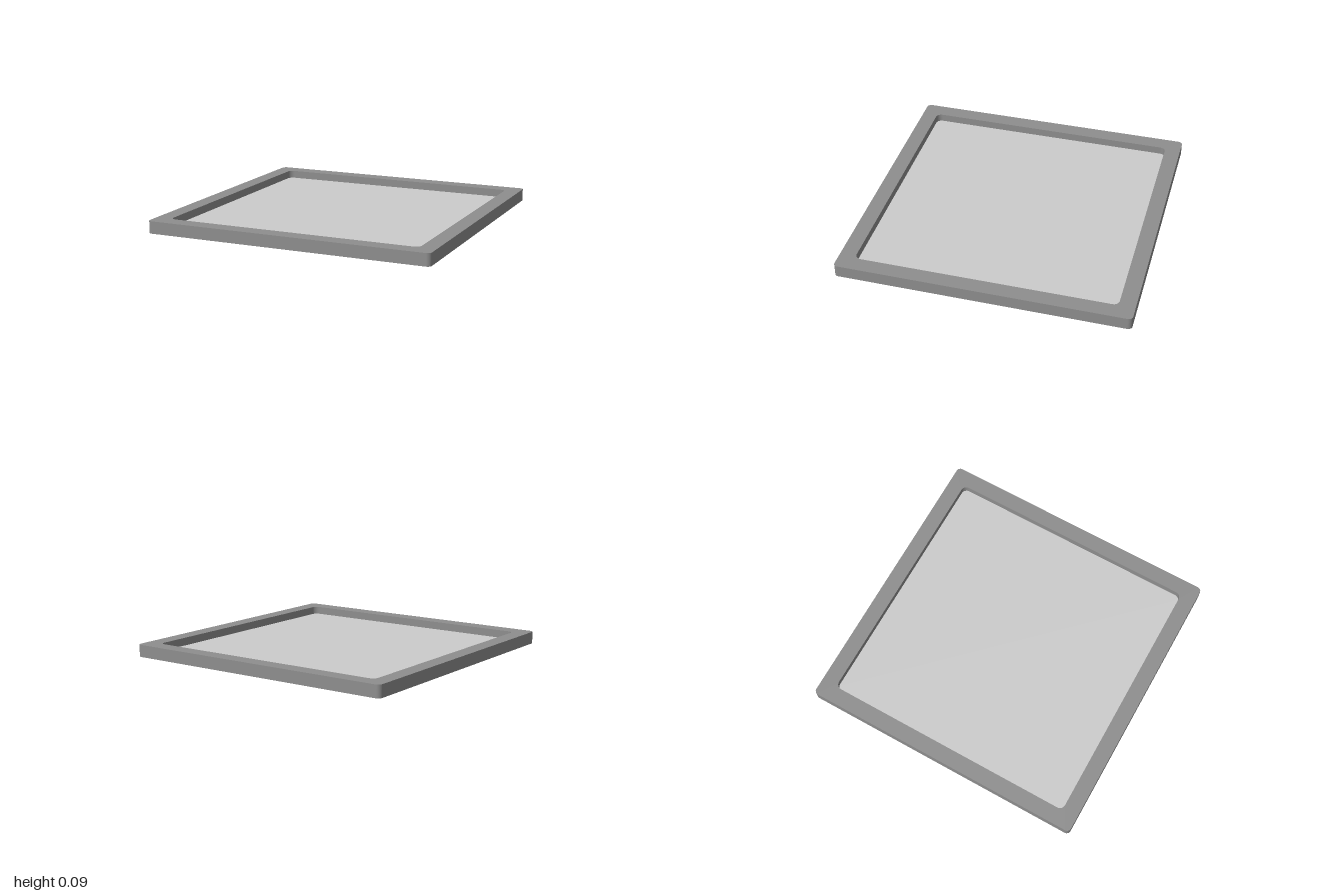
import * as THREE from 'three';

// Traces a centred square with rounded corners
function roundedSquare(path, half, r) {
  const c = half - r;
  path.moveTo(-c, -half);
  path.lineTo(c, -half);
  path.absarc(c, -c, r, -Math.PI / 2, 0, false);
  path.absarc(c, c, r, 0, Math.PI / 2, false);
  path.absarc(-c, c, r, Math.PI / 2, Math.PI, false);
  path.absarc(-c, -c, r, Math.PI, Math.PI * 1.5, false);
  path.closePath();
  return path;
}

// Extrudes a flat shape upwards from y0 to y1
function slab(name, shape, y0, y1, color) {
  const geometry = new THREE.ExtrudeGeometry(shape, {
    depth: y1 - y0, bevelEnabled: false, curveSegments: 8,
  });
  geometry.rotateX(-Math.PI / 2);
  geometry.translate(0, y0, 0);
  const mesh = new THREE.Mesh(geometry, new THREE.MeshStandardMaterial({ color }));
  mesh.name = name;
  return mesh;
}

export function createModel() {
  const group = new THREE.Group();
  group.name = 'framedPanel';

  // Raised border with a rounded square opening
  const border = roundedSquare(new THREE.Shape(), 1, 0.03);
  border.holes.push(roundedSquare(new THREE.Path(), 0.89, 0.04));
  group.add(slab('frame', border, 0, 0.085, 0x8e8e8e));

  // Thin sheet set low inside the opening
  const sheet = roundedSquare(new THREE.Shape(), 0.89, 0.04);
  group.add(slab('panel', sheet, 0.007, 0.03, 0xcccccc));

  return group;
}
